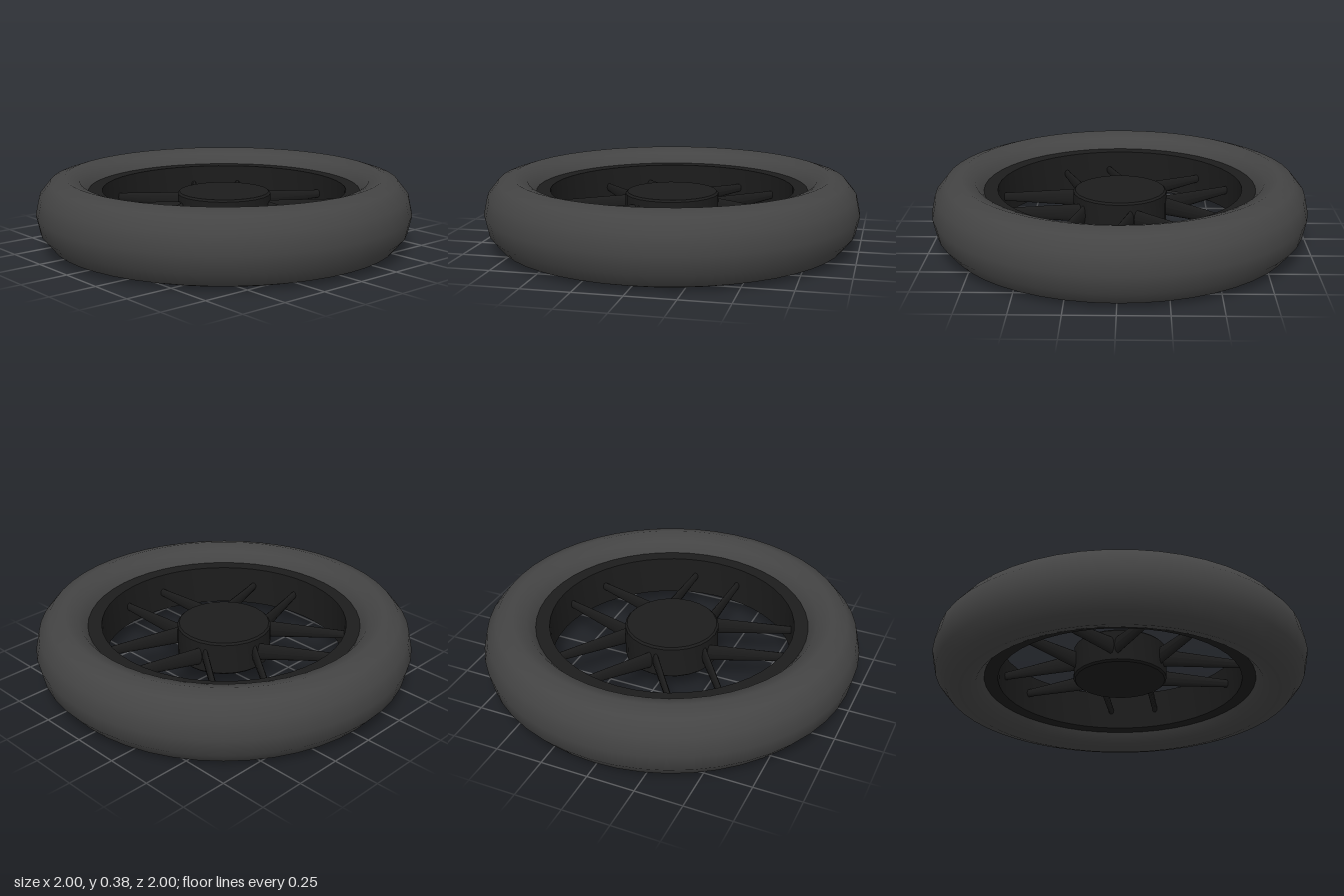
import * as THREE from 'three';
import { toCreasedNormals } from 'three/addons/utils/BufferGeometryUtils.js';

const MID = 0.19; // height of the wheel's middle plane
const rubber = new THREE.MeshStandardMaterial({ color: 0x444444 });
const dark = new THREE.MeshStandardMaterial({ color: 0x1c1c1c });

function lathe(points, segments) {
  return new THREE.LatheGeometry(points.map(([r, y]) => new THREE.Vector2(r, y)), segments);
}

export function createModel() {
  const wheel = new THREE.Group();
  wheel.name = 'wheel';

  function add(name, geometry, material, parent = wheel) {
    const mesh = new THREE.Mesh(geometry, material);
    mesh.name = name;
    parent.add(mesh);
    return mesh;
  }

  // Tyre: oval 12-sided section, seam hidden behind the rim
  const section = [];
  for (let i = 0; i <= 12; i++) {
    const a = Math.PI + (i / 12) * Math.PI * 2;
    section.push([0.845 + 0.155 * Math.cos(a), 0.19 * Math.sin(a)]);
  }
  add('tyre', lathe(section, 48), rubber).position.y = MID;

  // Rim: flat band lining the tyre
  const band = [[0.65, -0.11], [0.73, -0.11], [0.73, 0.11], [0.65, 0.11], [0.65, -0.11]];
  add('rim', toCreasedNormals(lathe(band, 48), 0.6), dark).position.y = MID;

  // Hub: short drum with a slightly eased edge
  const drum = [[0, -0.092], [0.24, -0.092], [0.25, -0.082], [0.25, 0.082], [0.24, 0.092], [0, 0.092]];
  add('hub', toCreasedNormals(lathe(drum, 24), 0.6), dark).position.y = MID;

  // Spokes: five parallel pairs, constant in width and tapering in height to the rim
  const inner = 0.2, outer = 0.66;
  const spoke = new THREE.CylinderGeometry(1, 1, outer - inner, 12);
  spoke.rotateZ(-Math.PI / 2).translate((inner + outer) / 2, 0, 0);
  const p = spoke.attributes.position;
  for (let i = 0; i < p.count; i++) {
    const t = (p.getX(i) - inner) / (outer - inner);
    p.setY(i, p.getY(i) * THREE.MathUtils.lerp(0.05, 0.021, t));
    p.setZ(i, p.getZ(i) * 0.015);
  }
  spoke.computeVertexNormals();

  for (let i = 0; i < 5; i++) {
    const pair = new THREE.Group();
    pair.name = 'spokePair';
    pair.position.y = MID;
    pair.rotation.y = (i / 5) * Math.PI * 2;
    for (const side of [-1, 1]) add('spoke', spoke, dark, pair).position.z = side * 0.13;
    wheel.add(pair);
  }
  return wheel;
}
